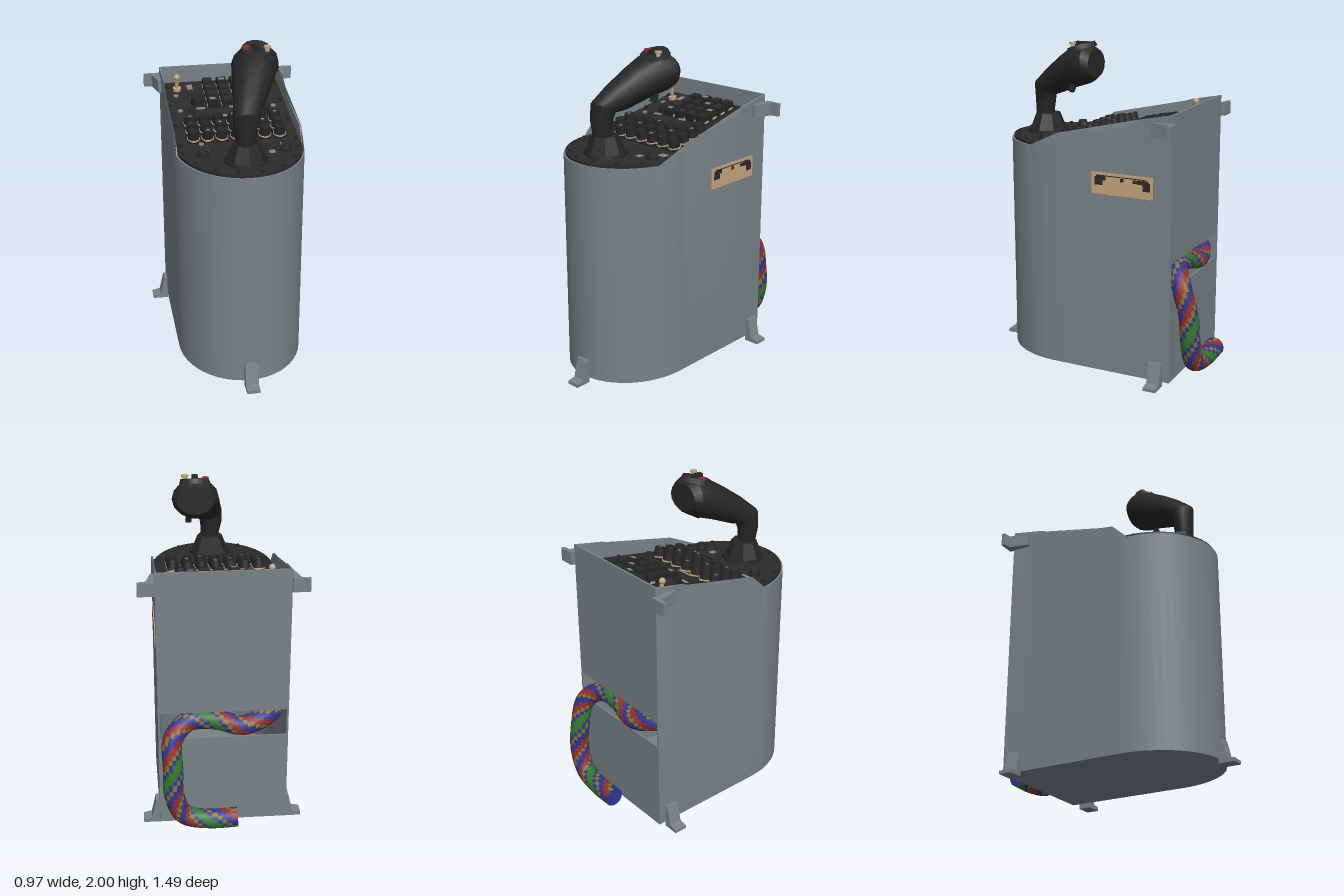
import * as THREE from 'three';
import { toCreasedNormals } from 'three/addons/utils/BufferGeometryUtils.js';

const mat = (name, color, side = THREE.FrontSide) => {
  const m = new THREE.MeshStandardMaterial({ color, side });
  m.name = name;
  return m;
};

export function createModel() {
  const root = new THREE.Group();
  root.name = 'controlPedestal';
  const grey = mat('steelGrey', 0x788286);
  const black = mat('panelBlack', 0x2b2b2b);
  const gripBlack = mat('gripBlack', 0x262626);
  const tan = mat('tan', 0xc6a67e);
  const label = mat('labelGrey', 0x808284);
  const red = mat('cableRed', 0x8c3030);
  const blue = mat('cableBlue', 0x30348f);
  const olive = mat('cableOlive', 0x857428);
  const green = mat('cableGreen', 0x35762a);

  const add = (parent, name, geo, m, x = 0, y = 0, z = 0) => {
    const mesh = new THREE.Mesh(geo, m);
    mesh.name = name;
    mesh.position.set(x, y, z);
    parent.add(mesh);
    return mesh;
  };
  const box = (w, h, d) => new THREE.BoxGeometry(w, h, d);
  const cyl = (rt, rb, h, n = 12) => new THREE.CylinderGeometry(rt, rb, h, n);

  // Cabinet plan: straight sides and a half-ellipse front
  const Z0 = 0.2, BACK = -0.575;
  const plan = (rx, rz) => {
    const half = [BACK, -0.375, -0.26, 0.155].map(z => [rx, z]);
    const angles = [0, 0.125];
    for (let i = 1; i <= 11; i++) angles.push(0.125 + (i / 11) * (Math.PI / 2 - 0.125));
    angles.forEach(a => half.push([rx * Math.cos(a), Z0 + rz * Math.sin(a)]));
    const other = half.slice(0, -1).reverse().map(([x, z]) => [-x, z]);
    return [...half, ...other].map(([x, z]) => new THREE.Vector2(x, -z));
  };
  const extrudeUp = (pts, depth) => {
    const g = new THREE.ExtrudeGeometry(new THREE.Shape(pts), { depth, bevelEnabled: false });
    return g.rotateX(-Math.PI / 2);
  };

  // Height of the wall's upper edge along z
  const edge = [[BACK, 1.645], [-0.375, 1.605], [-0.26, 1.545], [0.155, 1.483], [0.255, 1.385], [0.7, 1.385]];
  const wallTop = z => {
    for (let i = 1; i < edge.length; i++) {
      const [za, ya] = edge[i - 1], [zb, yb] = edge[i];
      if (z <= zb) return ya + (yb - ya) * Math.max(0, (z - za) / (zb - za));
    }
    return 1.385;
  };
  const wall = extrudeUp([...plan(0.385, 0.443), ...plan(0.373, 0.431).reverse()], 1);
  const wp = wall.attributes.position;
  for (let i = 0; i < wp.count; i++) wp.setY(i, wp.getY(i) > 0.5 ? wallTop(wp.getZ(i)) : 0.03);
  add(root, 'cabinetWall', toCreasedNormals(wall, 0.5), grey);
  add(root, 'cabinetFloor', extrudeUp(plan(0.38, 0.438), 0.012), grey, 0, 0.03, 0);
  add(root, 'upperBackPanel', box(0.768, 0.875, 0.012), grey, 0, 1.2075, -0.569);
  add(root, 'lowerBackPanel', box(0.768, 0.57, 0.012), grey, 0, 0.315, -0.569);

  // Mounting brackets: three feet and two upper rear lugs
  const bs = new THREE.Shape([[0, 0], [0.1, 0], [0.1, 0.02], [0.05, 0.03], [0.022, 0.15], [0, 0.15]]
    .map(p => new THREE.Vector2(...p)));
  const bracketGeo = new THREE.ExtrudeGeometry(bs, { depth: 0.08, bevelEnabled: false }).translate(0, 0, -0.04);
  const bracket = (name, x, y, z, rx, ry) =>
    add(root, name, bracketGeo, grey, x, y, z).rotation.set(rx, ry, 0);
  bracket('frontFoot', 0, 0, 0.642, 0, -Math.PI / 2);
  for (const s of [1, -1]) {
    const turn = s > 0 ? 0 : Math.PI;
    bracket('rearFoot', s * 0.384, 0, -0.49, 0, turn);
    bracket('rearLug', s * 0.384, 1.557, -0.602, Math.PI / 2, turn);
  }

  // Side placard with dark worn marks
  add(root, 'placard', box(0.006, 0.13, 0.39), tan, 0.388, 1.21, -0.265);
  for (const [y, z, h, d] of [[1.225, -0.115, 0.05, 0.05], [1.245, -0.13, 0.03, 0.06], [1.215, -0.42, 0.05, 0.045],
    [1.24, -0.4, 0.025, 0.07], [1.24, -0.265, 0.02, 0.02], [1.24, -0.35, 0.02, 0.03], [1.257, -0.265, 0.005, 0.3]])
    add(root, 'placardMark', box(0.003, h, d), black, 0.3915, y, z);

  // Flat front panel
  const frontPts = [];
  for (let i = 0; i <= 24; i++) {
    const a = (i / 24) * Math.PI;
    frontPts.push(new THREE.Vector2(0.374 * Math.cos(a), -Z0 - 0.432 * Math.sin(a)));
  }
  add(root, 'frontPanel', extrudeUp(frontPts.reverse(), 0.022), black, 0, 1.38, 0);
  for (let i = 0; i < 8; i++) {
    const a = 0.2 + (i / 7) * (Math.PI - 0.4);
    add(root, 'panelBolt', cyl(0.011, 0.011, 0.012, 6), gripBlack, 0.35 * Math.cos(a), 1.407, Z0 + 0.405 * Math.sin(a));
  }
  for (const x of [-0.23, 0.26]) {
    add(root, 'frontKnobBase', cyl(0.037, 0.037, 0.012), gripBlack, x, 1.406, 0.31);
    add(root, 'frontKnob', cyl(0.026, 0.032, 0.035), black, x, 1.425, 0.31);
  }
  for (const [x, z, w, d] of [[-0.22, 0.25, 0.06, 0.02], [0.27, 0.23, 0.05, 0.045], [0.175, 0.33, 0.035, 0.04]])
    add(root, 'frontLabel', box(w, 0.004, d), label, x, 1.403, z);

  // Tilted rear panel; controls are placed by plan position
  const desk = new THREE.Group();
  desk.name = 'rearPanel';
  desk.position.set(0, 1.4, Z0);
  desk.rotation.x = 0.178;
  root.add(desk);
  const put = (name, geo, m, x, h, z) => add(desk, name, geo, m, x, h, (z - Z0) / Math.cos(0.178));
  put('rearPanelPlate', box(0.744, 0.02, 0.776), black, 0, -0.01, -0.181);

  // Knob rows with tan collars
  [-0.04, 0.04, 0.12].forEach((z, r) => {
    [-0.26, -0.175, -0.09, 0, 0.085, 0.17, 0.26].forEach((x, c) => {
      put('knobPlate', box(0.076, 0.012, 0.07), gripBlack, x, 0.006, z);
      put('knobCollar', cyl(0.039, 0.039, 0.01), tan, x, 0.014, z);
      put('knob', cyl(0.03, 0.036, 0.055), gripBlack, x, 0.042, z);
      if ((r + c) % 3 === 0) put('knobLabel', box(0.018, 0.003, 0.014), label, x, 0.07, z);
    });
  });

  // Keypad
  put('keypadBase', box(0.33, 0.012, 0.31), gripBlack, 0.04, 0.005, -0.355);
  [-0.47, -0.392, -0.314, -0.24].forEach((z, r) => {
    [-0.09, 0, 0.085, 0.17].forEach((x, c) => {
      put('keyRim', box(0.066, 0.014, 0.036), tan, x, 0.016, z);
      put('key', box(0.06, 0.05, 0.064), gripBlack, x, 0.033, z);
      put('keyCap', box(0.046, 0.008, 0.048), black, x, 0.06, z);
      if ((r * 3 + c) % 4 === 1) put('keyLabel', box(0.036, 0.003, 0.022), label, x, 0.0645, z);
    });
  });

  // Display, selector knobs and toggle switch
  put('displayFrame', box(0.39, 0.016, 0.12), gripBlack, -0.045, 0.008, -0.153);
  put('displayScreen', box(0.27, 0.006, 0.075), black, -0.075, 0.018, -0.15);
  put('roundSelector', cyl(0.03, 0.037, 0.05), gripBlack, 0.22, 0.025, -0.15);
  put('ovalSelector', cyl(0.034, 0.04, 0.05, 16), gripBlack, -0.178, 0.025, -0.29).scale.z = 1.65;
  put('toggleBase', cyl(0.026, 0.026, 0.02, 8), tan, -0.285, 0.01, -0.465);
  put('toggleStem', cyl(0.014, 0.01, 0.08, 8), tan, -0.285, 0.05, -0.465);
  put('toggleTip', new THREE.SphereGeometry(0.02, 10, 8), tan, -0.285, 0.095, -0.465);
  for (const [x, z] of [[0.29, -0.43], [0.29, -0.21], [-0.295, -0.21], [-0.3, -0.39], [-0.22, 0.17]])
    put('fastener', cyl(0.016, 0.016, 0.008, 8), label, x, 0.004, z);
  for (const [x, z, w, d] of [[-0.205, -0.46, 0.035, 0.055], [-0.17, -0.2, 0.055, 0.02],
    [0.035, -0.2, 0.055, 0.02], [-0.055, -0.103, 0.1, 0.02]])
    put('panelLabel', box(w, 0.005, d), label, x, 0.02, z);
  for (const s of [1, -1])
    for (const z of [-0.5, -0.28, -0.05, 0.17]) put('edgeBolt', cyl(0.012, 0.012, 0.014, 6), gripBlack, s * 0.35, 0.006, z);

  // Joystick boot
  add(root, 'stickFlange', cyl(0.128, 0.132, 0.02, 8), gripBlack, 0, 1.41, 0.43);
  add(root, 'stickBoot', toCreasedNormals(cyl(0.078, 0.122, 0.11, 8), 0.3), gripBlack, 0, 1.465, 0.435);

  // Grip lofted through tilted rings: x, y, z, tilt, half width, half depth
  const rings = [
    [0, 1.5, 0.455, 0, 0.055, 0.055], [-0.01, 1.6, 0.455, 0.1, 0.068, 0.062],
    [0, 1.68, 0.448, 0.5, 0.08, 0.075], [0.03, 1.73, 0.37, 1.1, 0.095, 0.088],
    [0.07, 1.8, 0.245, 1.15, 0.118, 0.108], [0.105, 1.85, 0.14, 1.2, 0.14, 0.124],
    [0.115, 1.868, 0.075, 1.4, 0.14, 0.114], [0.115, 1.865, 0.035, 1.5, 0.112, 0.085]];
  const N = 14, pos = [], idx = [];
  for (const [x, y, z, t, hx, hn] of rings)
    for (let j = 0; j < N; j++) {
      const a = (j / N) * Math.PI * 2, u = hx * Math.cos(a), v = hn * Math.sin(a);
      pos.push(x + u, y + v * Math.sin(t), z + v * Math.cos(t));
    }
  for (let i = 0; i < rings.length - 1; i++)
    for (let j = 0; j < N; j++) {
      const k = (j + 1) % N, a = i * N + j, b = i * N + k;
      idx.push(a, a + N, b, b, a + N, b + N);
    }
  const last = (rings.length - 1) * N;
  for (let j = 1; j < N - 1; j++) idx.push(last, last + j + 1, last + j);
  const gripGeo = new THREE.BufferGeometry();
  gripGeo.setAttribute('position', new THREE.Float32BufferAttribute(pos, 3));
  gripGeo.setIndex(idx);
  add(root, 'grip', toCreasedNormals(gripGeo, 0.6), gripBlack);

  // Thumb controls and trigger
  add(root, 'thumbPlate', cyl(0.085, 0.095, 0.03, 12), black, 0.112, 1.957, 0.135).rotation.x = 0.3;
  add(root, 'thumbButton', cyl(0.022, 0.022, 0.03, 10), red, 0.05, 1.968, 0.128);
  add(root, 'thumbSlider', box(0.034, 0.03, 0.07), gripBlack, 0.11, 1.975, 0.14);
  add(root, 'hatStem', cyl(0.012, 0.016, 0.04, 8), tan, 0.17, 1.965, 0.165);
  add(root, 'hatCap', cyl(0.022, 0.022, 0.012, 8), tan, 0.17, 1.985, 0.165);
  add(root, 'trigger', box(0.035, 0.05, 0.03), gripBlack, 0.15, 1.715, 0.18).rotation.x = -0.4;

  // Cable with helical colour bands
  const path = new THREE.CatmullRomCurve3([[-0.075, 0.115, -0.69], [0.1, 0.11, -0.685], [0.24, 0.14, -0.675],
    [0.3, 0.27, -0.675], [0.305, 0.45, -0.66], [0.3, 0.62, -0.61], [0.21, 0.7, -0.55], [0.05, 0.7, -0.535],
    [-0.12, 0.665, -0.555], [-0.27, 0.7, -0.5], [-0.32, 0.7, -0.4]].map(p => new THREE.Vector3(...p)));
  const cableGeo = new THREE.TubeGeometry(path, 120, 0.06, 16, false);
  const bands = 'RRBBYRRBBYBGGGBY', keys = 'RBYG';
  const src = cableGeo.index.array, sorted = [[], [], [], []];
  for (let q = 0; q < src.length / 6; q++) {
    const shift = (q % 16) + Math.floor(Math.floor(q / 16) * 0.45);
    sorted[keys.indexOf(bands[shift % 16])].push(...src.slice(q * 6, q * 6 + 6));
  }
  cableGeo.setIndex(sorted.flat());
  let start = 0;
  sorted.forEach((list, i) => {
    cableGeo.addGroup(start, list.length, i);
    start += list.length;
  });
  add(root, 'cable', cableGeo, [red, blue, olive, green]);
  const end = path.getPoint(0);
  add(root, 'cableEnd', new THREE.CircleGeometry(0.06, 16), blue, end.x, end.y, end.z)
    .lookAt(end.clone().sub(path.getTangent(0)));

  return root;
}
